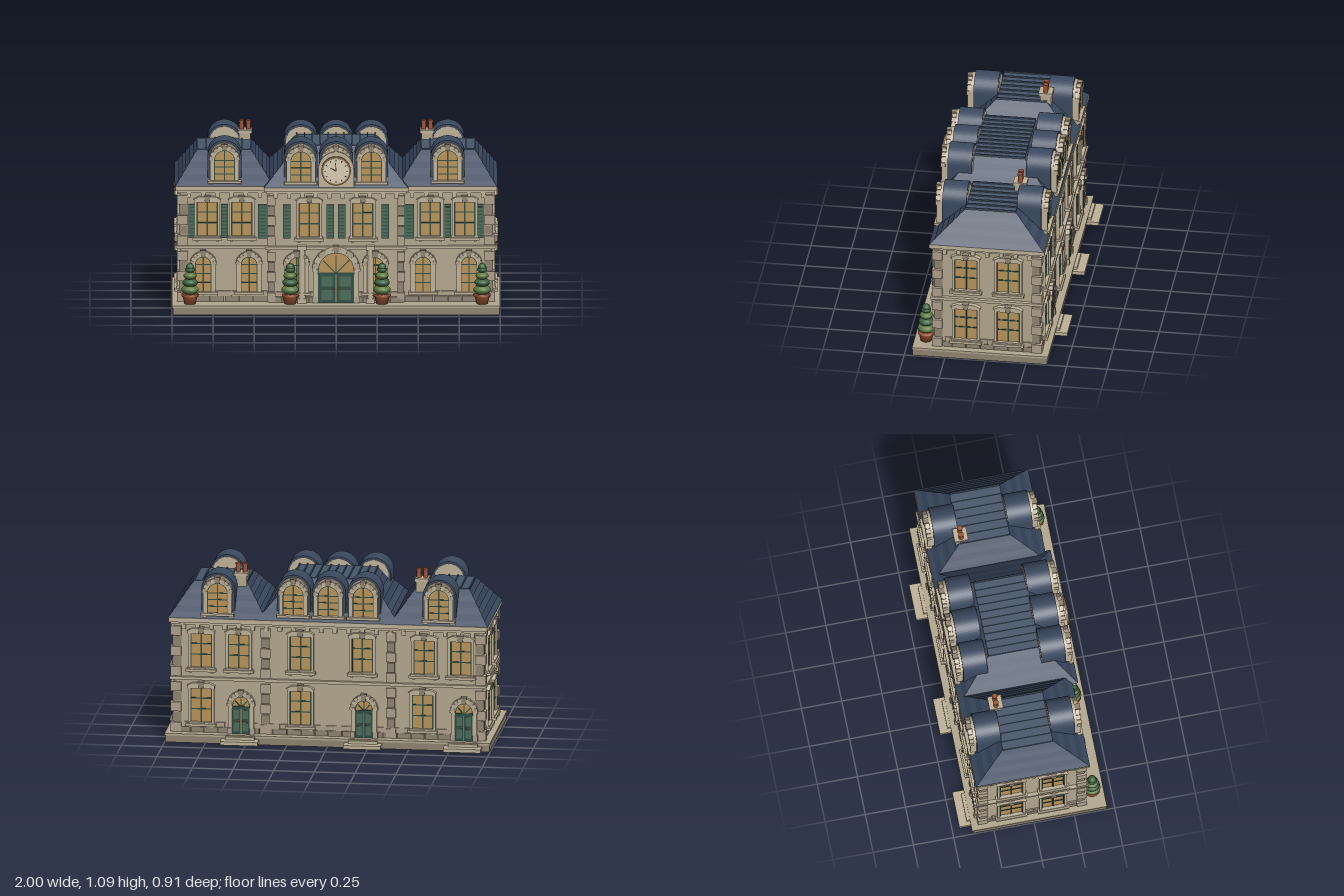
import * as THREE from 'three';

const mat = (color, flat = false) => new THREE.MeshStandardMaterial({ color, flatShading: flat });
const M = {
  wall: mat(0xb3a78e), trim: mat(0xbfb299), quoin: mat(0xb0a08c), dark: mat(0x8f8371),
  slate: mat(0x3b4a60), slate2: mat(0x34425a), metal: mat(0x46566a), glass: mat(0xb8945a),
  green: mat(0x2f4d42), shutter: mat(0x4a6a58), leafA: mat(0x39603a), leafB: mat(0x5c7a42),
  clay: mat(0x9c5233), cream: mat(0xd9cdb4), bronze: mat(0x8a6a45), ink: mat(0x2a2a2a),
};

function add(parent, name, geo, material, x = 0, y = 0, z = 0) {
  const m = new THREE.Mesh(geo, material);
  m.name = name;
  m.position.set(x, y, z);
  parent.add(m);
  return m;
}
const box = (p, name, m, w, h, d, x, y, z) => add(p, name, new THREE.BoxGeometry(w, h, d), m, x, y, z);
// box given by its limits
const span = (p, name, m, x0, x1, y0, y1, z0, z1) =>
  box(p, name, m, x1 - x0, y1 - y0, z1 - z0, (x0 + x1) / 2, (y0 + y1) / 2, (z0 + z1) / 2);
function group(parent, name, x = 0, y = 0, z = 0, ry = 0) {
  const g = new THREE.Group();
  g.name = name;
  g.position.set(x, y, z);
  g.rotation.y = ry;
  parent.add(g);
  return g;
}

// round-headed outline: half width r, from y0 up to the spring line ys
function archPath(T, r, y0, ys) {
  const s = new T();
  s.moveTo(-r, y0);
  s.lineTo(r, y0);
  s.lineTo(r, ys);
  s.absarc(0, ys, r, 0, Math.PI, false);
  s.lineTo(-r, y0);
  return s;
}
function archGeo(r, y0, ys, depth, hole = 0) {
  const s = archPath(THREE.Shape, r, y0, ys);
  if (hole) s.holes.push(archPath(THREE.Path, hole, y0 + 0.001, ys));
  return new THREE.ExtrudeGeometry(s, { depth, bevelEnabled: false, curveSegments: 16 });
}

// box whose top is a different rectangle: [x0, x1, z0, z1]
function frustum(b, t, y0, y1) {
  const g = new THREE.BoxGeometry(1, 1, 1), p = g.attributes.position;
  for (let i = 0; i < p.count; i++) {
    const up = p.getY(i) > 0, q = up ? t : b;
    p.setXYZ(i, p.getX(i) < 0 ? q[0] : q[1], up ? y1 : y0, p.getZ(i) < 0 ? q[2] : q[3]);
  }
  g.computeVertexNormals();
  return g;
}

// hipped roof in overlapping slate courses, with a seamed flat top
function roof(parent, name, b, t, y0, y1, rows) {
  const g = group(parent, name);
  const at = (k, o) => b.map((v, i) => v + (t[i] - v) * k + (i % 2 ? o : -o));
  for (let i = 0; i < rows; i++) {
    const a = i / rows, c = (i + 1) / rows;
    add(g, 'slateCourse', frustum(at(a, 0.005), at(c, 0), y0 + (y1 - y0) * a, y0 + (y1 - y0) * c),
      i % 2 ? M.slate2 : M.slate);
  }
  span(g, 'flatTop', M.metal, t[0], t[1], y1 - 0.005, y1 + 0.004, t[2], t[3]);
  const n = Math.round((t[1] - t[0]) / 0.05);
  for (let i = 0; i <= n; i++)
    box(g, 'roofSeam', M.metal, 0.008, 0.012, t[3] - t[2], t[0] + (t[1] - t[0]) * i / n, y1 + 0.006, (t[2] + t[3]) / 2);
}

// sash window, origin at the bottom centre of the glass on the wall face
function sashWindow(parent, x, y, z, w = 0.14, h = 0.21) {
  const g = group(parent, 'sashWindow', x, y, z);
  box(g, 'glass', M.glass, w, h, 0.006, 0, h / 2, 0.002);
  box(g, 'mullion', M.green, 0.009, h, 0.008, 0, h / 2, 0.005);
  for (const k of [0.38, 0.7]) box(g, 'glazingBar', M.green, w, 0.007, 0.008, 0, h * k, 0.005);
  for (const s of [-1, 1]) {
    box(g, 'sashEdge', M.green, 0.006, h, 0.01, s * (w / 2 - 0.003), h / 2, 0.005);
    box(g, 'jamb', M.trim, 0.016, h, 0.022, s * (w / 2 + 0.008), h / 2, 0.008);
    box(g, 'sillBracket', M.trim, 0.016, 0.012, 0.016, s * w * 0.5, -0.03, 0.008);
  }
  box(g, 'sill', M.trim, w + 0.055, 0.016, 0.04, 0, -0.017, 0.016);
  box(g, 'sillStep', M.trim, w + 0.035, 0.01, 0.028, 0, -0.005, 0.012);
  box(g, 'lintel', M.trim, w + 0.034, 0.018, 0.026, 0, h + 0.009, 0.01);
  const e = w / 2 + 0.022;
  add(g, 'hood', frustum([-e, e, 0, 0.03], [-e * 0.6, e * 0.6, 0, 0.03], h + 0.018, h + 0.036), M.trim);
  add(g, 'keystone', frustum([-0.014, 0.014, 0, 0.036], [-0.02, 0.02, 0, 0.036], h + 0.004, h + 0.042), M.dark);
}

// wedge stones around an arch
function voussoirs(g, r0, r1, ys, d, n) {
  for (let i = 0; i < n; i++) {
    const a = Math.PI * (i + 0.5) / n, r = (r0 + r1) / 2;
    const m = box(g, 'archStone', i % 2 ? M.trim : M.quoin, r1 - r0, Math.PI * r / n * 0.93, d,
      Math.cos(a) * r, ys + Math.sin(a) * r, d / 2);
    m.rotation.z = a;
  }
}

// arched window or, with door > 0, an arched doorway with leaves of that height
function archOpening(parent, name, x, y, z, r, ys, rim, door = 0) {
  const g = group(parent, name, x, y, z);
  add(g, 'glass', archGeo(r, 0, ys, 0.014), M.glass);
  add(g, 'surround', archGeo(r + rim * 0.8, 0, ys, 0.022, r - 0.002), M.trim);
  add(g, 'innerFrame', archGeo(r, 0, ys, 0.018, r - 0.007), M.green);
  voussoirs(g, r + rim * 0.1, r + rim, ys, 0.028, 9);
  add(g, 'keystone', frustum([-0.012, 0.012, 0, 0.034], [-0.018, 0.018, 0, 0.034], ys + r - 0.004, ys + r + rim + 0.008), M.dark);
  if (door) {
    box(g, 'transom', M.green, 2 * r, 0.012, 0.022, 0, door, 0.012);
    for (const a of [0.25, 0.5, 0.75]) {
      const bar = box(g, 'fanBar', M.green, r, 0.006, 0.018, Math.cos(a * Math.PI) * r / 2, door + Math.sin(a * Math.PI) * r / 2, 0.008);
      bar.rotation.z = a * Math.PI;
    }
    for (const s of [-1, 1]) {
      box(g, 'doorLeaf', M.green, r - 0.004, door, 0.018, s * r / 2, door / 2, 0.009);
      for (const k of [0.27, 0.73]) box(g, 'doorPanel', M.shutter, r * 0.6, door * 0.33, 0.004, s * r / 2, door * k, 0.018);
      add(g, 'knob', new THREE.SphereGeometry(0.006, 8, 6), M.bronze, s * 0.013, door * 0.5, 0.022);
      box(g, 'jambFoot', M.quoin, rim, 0.04, 0.03, s * (r + rim / 2), 0.02, 0.012);
      box(g, 'impost', M.trim, rim * 1.1, 0.014, 0.032, s * (r + rim / 2), ys, 0.014);
    }
  } else {
    box(g, 'mullion', M.green, 0.008, ys + r, 0.018, 0, (ys + r) / 2, 0.008);
    for (const k of [0.33, 0.67, 1]) box(g, 'glazingBar', M.green, 2 * r, 0.006, 0.018, 0, ys * k, 0.008);
    box(g, 'sill', M.trim, 2 * (r + rim) + 0.012, 0.015, 0.038, 0, -0.008, 0.017);
  }
  return g;
}

// louvred shutter
function shutter(parent, x, z, w = 0.045) {
  const g = group(parent, 'shutter', x, 0.56, z);
  box(g, 'panel', M.shutter, w, 0.21, 0.012, 0, 0, 0.006);
  for (let i = 0; i < 9; i++) box(g, 'louvre', M.green, w * 0.7, 0.006, 0.006, 0, -0.088 + i * 0.022, 0.013);
}

// barrel dormer, front face at local z = 0
function dormer(parent, x, z, ry) {
  const g = group(parent, 'dormer', x, 0, z, ry);
  add(g, 'barrel', archGeo(0.103, 0.785, 0.952, 0.15), M.slate, 0, 0, -0.165);
  add(g, 'core', archGeo(0.09, 0.785, 0.952, 0.17), M.trim, 0, 0, -0.169);
  archOpening(g, 'archedWindow', 0, 0.812, 0, 0.066, 0.125, 0.028);
  for (const s of [-1, 1]) box(g, 'dormerFoot', M.trim, 0.035, 0.03, 0.028, s * 0.085, 0.795, 0.008);
}

function topiary(parent, x) {
  const g = group(parent, 'topiary', x, 0.055, 0.38);
  const pot = [[0, 0], [0.034, 0], [0.045, 0.045], [0.051, 0.047], [0.051, 0.062], [0.04, 0.062], [0, 0.058]];
  add(g, 'pot', new THREE.LatheGeometry(pot.map(p => new THREE.Vector2(...p)), 16), M.clay);
  [[0.053, 0.088], [0.047, 0.133], [0.04, 0.175], [0.031, 0.212]].forEach(([r, y], i) => {
    const t = add(g, 'hedgeTier', new THREE.SphereGeometry(r, 14, 10), i % 2 ? M.leafA : M.leafB, 0, y, 0);
    t.scale.y = 0.58;
  });
  add(g, 'hedgeTip', new THREE.SphereGeometry(0.026, 14, 10), M.leafA, 0, 0.226, 0);
}

export function createModel() {
  const house = new THREE.Group();
  house.name = 'manorHouse';

  // terrace and rear steps
  span(house, 'terrace', M.dark, -0.995, 0.995, 0, 0.045, -0.38, 0.45);
  span(house, 'terraceEdge', M.wall, -1, 1, 0.043, 0.056, -0.385, 0.452);
  const rearDoors = [0.535, -0.22, -0.835];
  for (const x of rearDoors) {
    span(house, 'lowerStep', M.trim, x - 0.115, x + 0.115, 0.01, 0.032, -0.455, -0.37);
    span(house, 'upperStep', M.trim, x - 0.09, x + 0.09, 0.03, 0.05, -0.405, -0.37);
  }

  // walls and the continuous string courses
  const course = (name, m, y0, y1, o) => {
    span(house, name, m, -0.95 - o, 0.95 + o, y0, y1, -0.33 - o, 0.32 + o);
    span(house, name, m, -0.41 - o, 0.41 + o, y0, y1, 0, 0.345 + o);
  };
  course('walls', M.wall, 0.05, 0.77, 0);
  course('floorBand', M.trim, 0.388, 0.406, 0.022);
  course('frieze', M.trim, 0.735, 0.752, 0.018);
  course('cornice', M.trim, 0.75, 0.778, 0.03);

  // elevations: each group faces outward along its own +z
  const front = group(house, 'frontElevation');
  const back = group(house, 'backElevation', 0, 0, 0, Math.PI);
  const sides = [1, -1].map(s => group(house, s > 0 ? 'leftElevation' : 'rightElevation', 0, 0, 0, s * Math.PI / 2));
  const dress = (g, x0, x1, z) => {
    const n = Math.round((x1 - x0) / 0.085), w = (x1 - x0) / n;
    for (let i = 0; i < n; i++) {
      const x = x0 + w * (i + 0.5);
      box(g, 'dentil', M.trim, 0.026, 0.028, 0.024, x, 0.722, z + 0.008);
      box(g, 'plinthBlock', M.dark, w * 0.95, 0.034, 0.02, x, 0.075, z);
      box(g, 'plinthBlock', M.quoin, w * 0.95, 0.03, 0.016, x + (i < n - 1 ? w / 2 : 0), 0.108, z);
    }
  };
  dress(front, -0.41, 0.41, 0.345);
  for (const s of [-1, 1]) dress(front, s * 0.68 - 0.26, s * 0.68 + 0.26, 0.32);
  dress(back, -0.93, 0.93, 0.33);
  sides.forEach(g => dress(g, -0.3, 0.31, 0.95));

  // corner stones on the outer corners, the centre block and the rear piers
  for (let f = 0; f < 2; f++) for (let i = 0; i < 5; i++) {
    const y = (f ? 0.438 : 0.088) + i * 0.0635, k = i % 2 ? 0.012 : 0, m = i % 2 ? M.dark : M.quoin;
    for (const s of [-1, 1]) {
      for (const [z, t] of [[0.302, 1], [-0.312, -1]])
        box(house, 'cornerStone', m, 0.066 - k, 0.058, 0.062 - k, s * (0.936 - k / 2), y, z - t * k / 2);
      box(house, 'cornerStone', m, 0.05 - k, 0.058, 0.05, s * 0.395, y, 0.33);
      box(house, 'pierStone', m, 0.06 - k, 0.058, 0.02, s * 0.385, y, -0.332);
    }
  }

  // sash windows
  for (const s of [-1, 1]) {
    for (const x of [0.575, 0.785]) sashWindow(front, s * x, 0.468, 0.32, 0.125);
    sashWindow(front, s * 0.163, 0.468, 0.345, 0.125);
    for (const x of [0.88, 0.68]) shutter(front, s * x, 0.33, 0.04);
    shutter(front, s * 0.445, 0.345, 0.062);
    for (const x of [0.3, 0.035]) shutter(front, s * x, 0.345);
  }
  for (const x of [0.78, 0.55, 0.17, -0.21, -0.59, -0.815]) sashWindow(back, -x, 0.468, 0.33, 0.13);
  for (const x of [0.78, 0.17, -0.58]) sashWindow(back, -x, 0.125, 0.33, 0.13);
  for (const x of rearDoors) archOpening(back, 'rearDoor', -x, 0.055, 0.33, 0.055, 0.185, 0.03, 0.17);
  for (const g of sides) for (const y of [0.468, 0.122]) for (const z of [0.125, -0.135])
    sashWindow(g, g === sides[0] ? -z : z, y, 0.95);

  // ground floor front: arched windows, entrance, pilasters
  for (const s of [-1, 1]) {
    for (const x of [0.53, 0.81]) archOpening(front, 'archedWindow', s * x, 0.12, 0.32, 0.052, 0.17, 0.03);
    archOpening(front, 'archedWindow', s * 0.24, 0.12, 0.345, 0.052, 0.17, 0.03);
    add(front, 'pilaster', new THREE.CylinderGeometry(0.019, 0.021, 0.33, 16), M.trim, s * 0.208, 0.225, 0.36);
    box(front, 'pilasterBase', M.trim, 0.054, 0.03, 0.05, s * 0.208, 0.07, 0.358);
    box(front, 'pilasterCapital', M.trim, 0.054, 0.026, 0.05, s * 0.208, 0.4, 0.358);
  }
  archOpening(front, 'mainEntrance', 0, 0.055, 0.345, 0.112, 0.205, 0.034, 0.185);

  // roofs
  for (const s of [-1, 1]) {
    const flip = a => s > 0 ? a : [-a[1], -a[0], a[2], a[3]];
    roof(house, 'wingRoof', flip([0.38, 0.978, -0.352, 0.345]), flip([0.52, 0.845, -0.165, 0.145]), 0.778, 0.966, 6);
  }
  roof(house, 'centreRoof', [-0.435, 0.435, -0.352, 0.378], [-0.24, 0.24, -0.135, 0.185], 0.778, 0.998, 7);

  // dormers, front and back
  for (const x of [-0.68, 0.68]) { dormer(house, x, 0.312, 0); dormer(house, x, -0.328, Math.PI); }
  for (const x of [-0.215, 0, 0.215]) { dormer(house, x, 0.345, 0); dormer(house, x, -0.32, Math.PI); }

  // clock in front of the middle dormer
  const clock = group(house, 'clock', 0, 0.885, 0.365);
  add(clock, 'clockSurround', archGeo(0.108, -0.105, 0.008, 0.018), M.trim);
  const disc = (name, r, d, m) => { add(clock, name, new THREE.CylinderGeometry(r, r, d, 32), m, 0, 0, 0.016 + d / 2).rotation.x = Math.PI / 2; };
  disc('clockRim', 0.09, 0.014, M.bronze);
  disc('clockFace', 0.079, 0.017, M.cream);
  for (let i = 0; i < 12; i++) {
    const a = i * Math.PI / 6;
    box(clock, 'hourMark', M.ink, 0.005, 0.012, 0.003, Math.sin(a) * 0.067, Math.cos(a) * 0.067, 0.034).rotation.z = -a;
  }
  for (const [a, l] of [[1.05, 0.036], [0.06, 0.052]])
    box(clock, 'clockHand', M.ink, 0.005, l, 0.004, -Math.sin(a) * l / 2, Math.cos(a) * l / 2, 0.035).rotation.z = a;

  // chimneys
  for (const x of [-0.555, 0.555]) {
    const c = group(house, 'chimney', x, 0, -0.155);
    box(c, 'stack', M.wall, 0.07, 0.15, 0.07, 0, 0.945, 0);
    box(c, 'chimneyCap', M.trim, 0.085, 0.02, 0.085, 0, 1.02, 0);
    for (const s of [-1, 1]) {
      add(c, 'chimneyPot', new THREE.CylinderGeometry(0.013, 0.015, 0.05, 12), M.clay, s * 0.021, 1.054, 0);
      add(c, 'potRim', new THREE.CylinderGeometry(0.017, 0.017, 0.012, 12), M.clay, s * 0.021, 1.08, 0);
    }
  }

  for (const x of [-0.89, -0.28, 0.28, 0.89]) topiary(house, x);
  return house;
}
